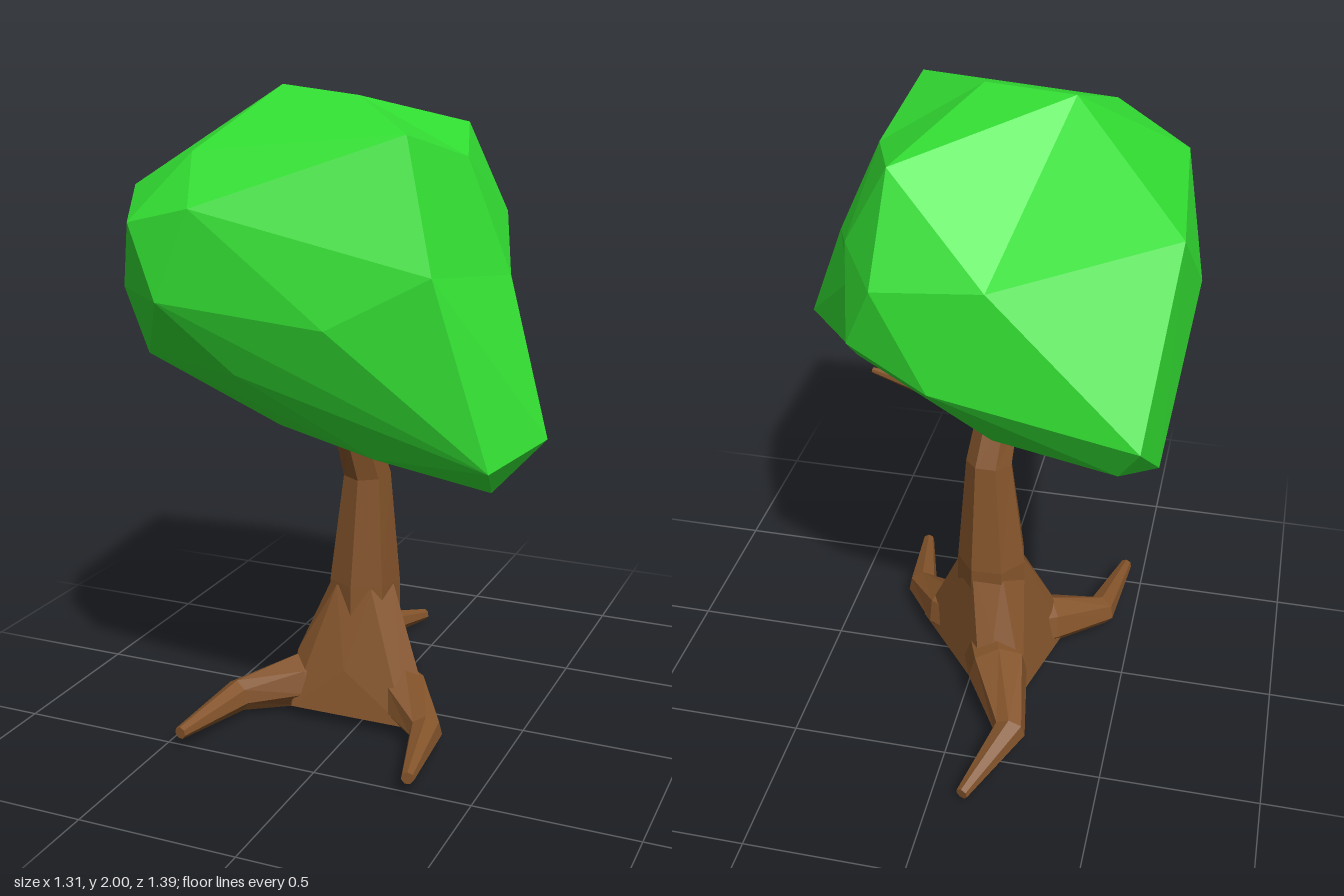
import * as THREE from 'three';
import { ConvexGeometry } from 'three/addons/geometries/ConvexGeometry.js';

const SIDES = 7;
const bark = new THREE.MeshStandardMaterial({ color: 0x84542b, flatShading: true });
const leaf = new THREE.MeshStandardMaterial({ color: 0x33e033, flatShading: true });

const vectors = (list) => list.map((p) => new THREE.Vector3(...p));

function part(name, geometry, material) {
  geometry.computeVertexNormals();
  const mesh = new THREE.Mesh(geometry, material);
  mesh.name = name;
  return mesh;
}

// Faceted limb through sections [x, y, z, radius], closed at both ends
function limb(name, sections) {
  const centres = sections.map(([x, y, z]) => new THREE.Vector3(x, y, z));
  const last = centres.length - 1;
  const rings = sections.map(([, , , r], i) => {
    const t = centres[Math.min(i + 1, last)].clone().sub(centres[Math.max(i - 1, 0)]).normalize();
    const ref = Math.abs(t.y) > 0.7 ? new THREE.Vector3(0, 0, 1) : new THREE.Vector3(0, 1, 0);
    const n = ref.addScaledVector(t, -ref.dot(t)).normalize();
    const b = t.clone().cross(n);
    return Array.from({ length: SIDES }, (_, j) => {
      const a = (j / SIDES) * Math.PI * 2;
      const p = centres[i].clone().addScaledVector(n, r * Math.cos(a)).addScaledVector(b, r * Math.sin(a));
      p.y = Math.max(p.y, 0.01);
      return p;
    });
  });
  const tris = [];
  for (let j = 0; j < SIDES; j++) {
    const k = (j + 1) % SIDES;
    for (let i = 0; i < last; i++) {
      const [p, q] = [rings[i], rings[i + 1]];
      tris.push(p[j], p[k], q[k], p[j], q[k], q[j]);
    }
    tris.push(centres[0], rings[0][k], rings[0][j]);
    tris.push(centres[last], rings[last][j], rings[last][k]);
  }
  return part(name, new THREE.BufferGeometry().setFromPoints(tris), bark);
}

// Webbed flare that joins the trunk foot to the three roots
function rootFlare() {
  return part('rootFlare', new ConvexGeometry(vectors([
    // collar around the trunk
    [-0.155, 0.43, 0.0], [-0.11, 0.43, 0.08], [0.01, 0.43, 0.08], [0.055, 0.43, 0.0],
    [0.0, 0.43, -0.1], [-0.1, 0.43, -0.1],
    // tops of the roots and the web between them
    [-0.235, 0.2, 0.11], [0.135, 0.2, 0.09], [-0.09, 0.23, -0.18], [-0.05, 0.18, 0.165],
    // sole
    [-0.28, 0.05, 0.1], [-0.22, 0.04, 0.2], [0.17, 0.04, 0.2], [0.22, 0.05, 0.1],
    [-0.2, 0.05, -0.22], [-0.06, 0.05, -0.25], [-0.05, 0.0, 0.02],
  ])), bark);
}

// Irregular faceted crown: a hull of corner points, with a few pushed back in as dents
function crown() {
  const corners = vectors([
    // top
    [-0.26, 2.0, 0.105], [0.03, 1.98, 0.21], [0.29, 1.9, 0.5], [0.205, 1.88, -0.24],
    [-0.62, 1.76, -0.275], [-0.56, 1.73, 0.46], [-0.32, 1.84, 0.55],
    // middle
    [-0.655, 1.5, 0.03], [-0.475, 1.65, 0.65], [-0.27, 1.7, 0.675], [-0.375, 1.44, 0.688],
    [0.13, 1.4, 0.685], [0.41, 1.55, 0.625], [0.22, 1.58, -0.405], [0.31, 1.38, -0.35],
    [0.35, 1.62, -0.19], [0.05, 1.3, -0.45], [-0.565, 1.255, -0.555], [-0.555, 1.45, 0.55],
    // bottom
    [0.56, 1.03, 0.585], [0.655, 1.08, 0.365], [0.53, 0.94, 0.465], [-0.53, 1.24, 0.47],
    [-0.17, 1.24, 0.62], [-0.5, 1.13, -0.48], [-0.6, 1.075, -0.33], [-0.13, 1.05, 0.42],
    [0.21, 1.02, 0.54], [-0.24, 1.0, 0.0], [0.0, 0.985, 0.33], [-0.08, 1.0, -0.18],
  ]);
  // each dent: position on the hull, then its final position
  const dents = [
    [[0.5, 1.37, -0.04], [0.41, 1.39, 0.0]],
    [[0.55, 1.5, 0.17], [0.475, 1.49, 0.16]],
    [[0.41, 1.17, -0.155], [0.35, 1.21, -0.12]],
    [[0.33, 1.92, 0.11], [0.325, 1.81, 0.11]],
    [[-0.11, 1.78, -0.46], [-0.11, 1.62, -0.425]],
  ].map(vectors);
  const geometry = new ConvexGeometry([...corners, ...dents.map(([outer]) => outer)]);
  const pos = geometry.attributes.position;
  const v = new THREE.Vector3();
  for (let i = 0; i < pos.count; i++) {
    v.fromBufferAttribute(pos, i);
    const dent = dents.find(([outer]) => outer.distanceTo(v) < 1e-4);
    if (dent) pos.setXYZ(i, ...dent[1].toArray());
  }
  return part('foliage', geometry, leaf);
}

export function createModel() {
  const tree = new THREE.Group();
  tree.name = 'tree';
  tree.add(
    limb('trunk', [
      [-0.05, 0.06, 0, 0.12], [-0.05, 0.44, -0.01, 0.115],
      [-0.035, 0.8, 0.005, 0.076], [-0.05, 0.94, 0.055, 0.068], [-0.06, 1.02, 0.075, 0.05],
    ]),
    limb('branch', [
      [-0.03, 0.93, 0.07, 0.04], [0.08, 0.938, 0.11, 0.03], [0.28, 0.957, 0.17, 0.02], [0.4, 0.975, 0.19, 0.01],
    ]),
    // Three bent roots
    limb('backRoot', [
      [-0.05, 0.13, -0.05, 0.1], [-0.11, 0.115, -0.2, 0.1], [-0.195, 0.07, -0.43, 0.052], [-0.1, 0.03, -0.69, 0.02],
    ]),
    limb('rightRoot', [
      [-0.05, 0.12, 0, 0.09], [-0.22, 0.1, 0.11, 0.088], [-0.39, 0.065, 0.24, 0.052], [-0.44, 0.057, 0.53, 0.02],
    ]),
    limb('leftRoot', [
      [-0.04, 0.12, 0, 0.09], [0.13, 0.1, 0.1, 0.088], [0.26, 0.065, 0.24, 0.052], [0.31, 0.057, 0.52, 0.02],
    ]),
    rootFlare(),
    crown(),
  );
  return tree;
}
